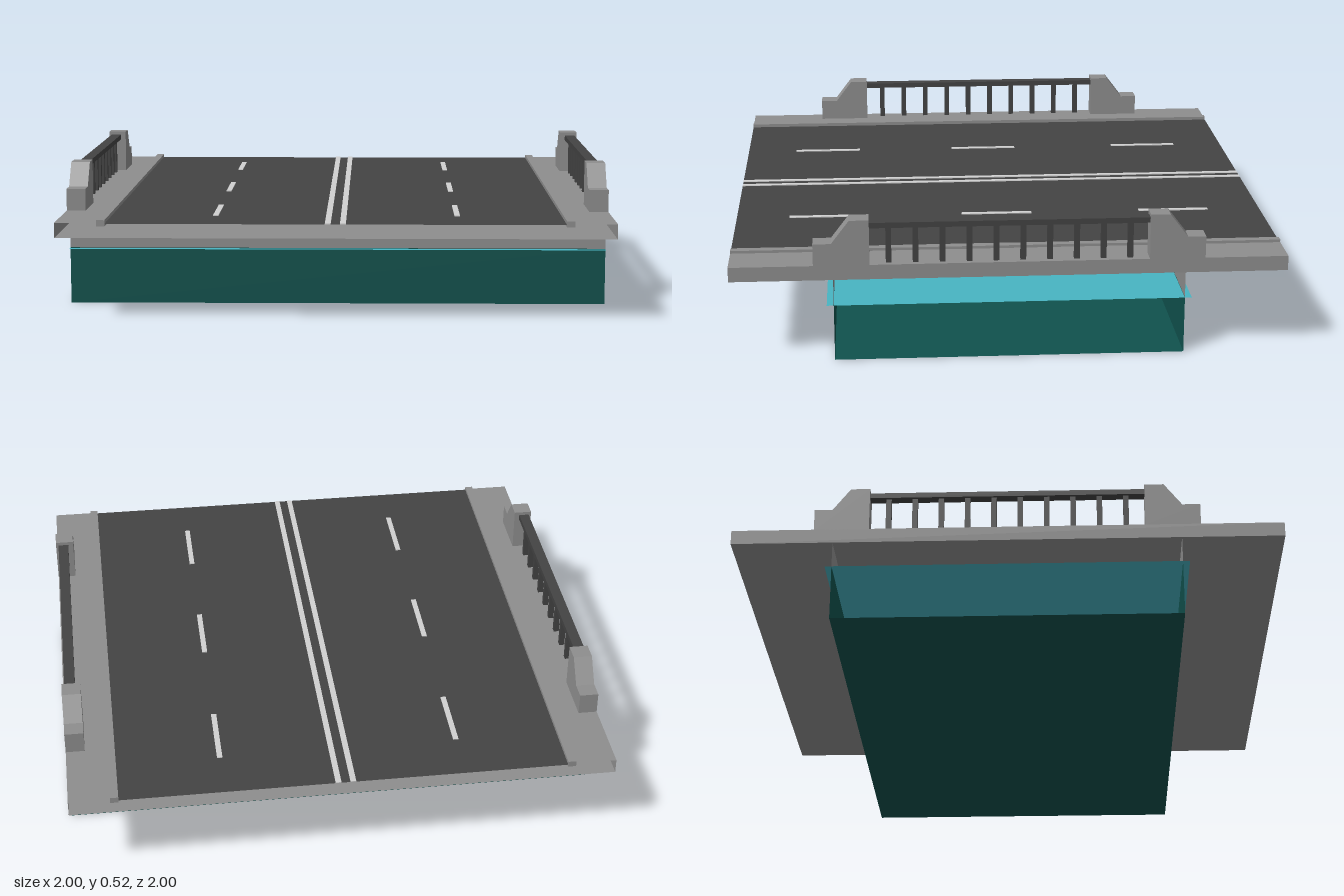
import * as THREE from 'three';

const mat = (name, color, side = THREE.FrontSide) => {
  const m = new THREE.MeshStandardMaterial({ color, side });
  m.name = name;
  return m;
};

export function createModel() {
  const group = new THREE.Group();
  const concrete = mat('concrete', 0x8e8e8e, THREE.DoubleSide);
  const asphalt = mat('asphalt', 0x434343, THREE.DoubleSide);
  const paint = mat('linePaint', 0xd0d0d0);
  const deepWater = mat('deepWater', 0x10514d, THREE.DoubleSide);
  const surface = mat('waterSurface', 0x48b4c2, THREE.DoubleSide);

  const add = (name, geo, material, x = 0, y = 0, z = 0) => {
    const mesh = new THREE.Mesh(geo, material);
    mesh.name = name;
    mesh.position.set(x, y, z);
    group.add(mesh);
    return mesh;
  };
  const box = (name, m, w, h, d, x, y, z) => add(name, new THREE.BoxGeometry(w, h, d), m, x, y, z);
  const floor = (name, m, w, d, x, y) => add(name, new THREE.PlaneGeometry(w, d).rotateX(-Math.PI / 2), m, x, y, 0);

  // Box keeping only the listed sides (0 +x, 1 -x, 2 +y, 3 -y, 4 +z, 5 -z)
  const shell = (w, h, d, sides) => {
    const geo = new THREE.BoxGeometry(w, h, d);
    const all = Array.from(geo.index.array);
    geo.setIndex(sides.flatMap((s) => all.slice(s * 6, s * 6 + 6)));
    geo.clearGroups();
    return geo;
  };

  // River channel, open at both ends
  add('riverBed', shell(2, 0.21, 1.26, [3, 4, 5]), deepWater, 0, 0.105, 0);
  floor('riverSurface', surface, 2, 1.31, 0, 0.208);
  add('abutmentWalls', shell(2, 0.095, 1.26, [4, 5]), concrete, 0, 0.2575, 0);

  // Hollow deck, open at the road ends
  add('deckShell', shell(2, 0.054, 2, [0, 1, 3]), concrete, 0, 0.332, 0);
  floor('road', asphalt, 1.64, 2, 0, 0.356);

  // Road markings
  for (const s of [-1, 1]) {
    box('centreLine', paint, 0.021, 0.003, 2, s * 0.027, 0.3575, 0);
    for (const z of [-0.667, 0.013, 0.667]) {
      box('laneDash', paint, 0.02, 0.003, 0.267, s * 0.44, 0.3575, z);
    }
  }

  // Stepped end pillar, profile in z and y, along one end of the railing
  const pillar = (dir) => {
    const pts = [[0.5, 0.357], [0.7, 0.357], [0.7, 0.44], [0.635, 0.44], [0.57, 0.525], [0.5, 0.525]];
    const shape = new THREE.Shape(pts.map(([z, y]) => new THREE.Vector2(z * dir, y)));
    return new THREE.ExtrudeGeometry(shape, { depth: 0.07, bevelEnabled: false })
      .rotateY(-Math.PI / 2).translate(0.035, 0, 0);
  };

  // Sidewalk, kerb and railing on each side
  for (const s of [-1, 1]) {
    floor('sidewalk', concrete, 0.15, 2, s * 0.925, 0.359);
    box('kerb', concrete, 0.03, 0.022, 2, s * 0.835, 0.358, 0);
    for (const dir of [-1, 1]) add('railingPillar', pillar(dir), concrete, s * 0.965, 0, 0);
    box('handrail', asphalt, 0.04, 0.02, 1, s * 0.97, 0.502, 0);
    for (let i = 0; i < 10; i++) {
      box('baluster', asphalt, 0.02, 0.135, 0.02, s * 0.97, 0.4265, -0.432 + i * 0.096);
    }
  }
  return group;
}
